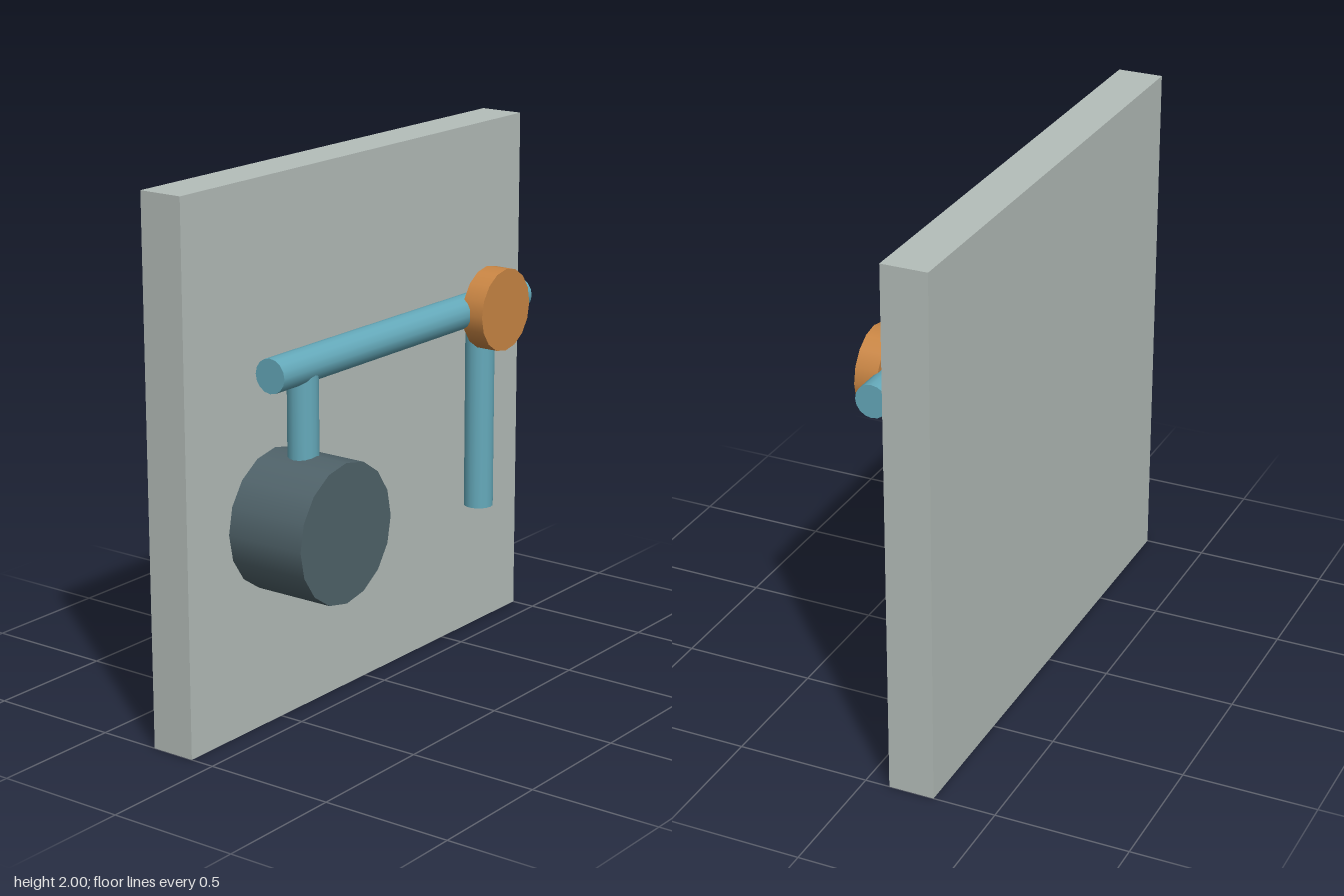
import * as THREE from 'three';

export function createModel() {
  const model = new THREE.Group();
  const paint = (name, color) => {
    const m = new THREE.MeshStandardMaterial({ color });
    m.name = name;
    return m;
  };
  const grey = paint('pale grey', 0xb5beba);
  const teal = paint('teal', 0x65aabb);
  const slate = paint('slate', 0x50636a);
  const orange = paint('orange', 0xca8644);

  // Adds a cylinder whose axis runs along 'x', 'y' or 'z'
  function rod(name, material, axis, radius, length, x, y, z) {
    const geometry = new THREE.CylinderGeometry(radius, radius, length, 16);
    if (axis === 'x') geometry.rotateZ(Math.PI / 2);
    if (axis === 'z') geometry.rotateX(Math.PI / 2);
    const mesh = new THREE.Mesh(geometry, material);
    mesh.name = name;
    mesh.position.set(x, y, z);
    model.add(mesh);
  }

  // Backing panel
  const panel = new THREE.Mesh(new THREE.BoxGeometry(2, 2, 0.172), grey);
  panel.name = 'backPanel';
  panel.position.set(0, 1, -0.179);
  model.add(panel);

  // Beam with its two vertical rods
  const rodZ = 0.076;
  rod('beam', teal, 'x', 0.0625, 1.5, 0, 1.36, rodZ);
  rod('hangerRod', teal, 'y', 0.056, 0.4, -0.572, 1.16, rodZ);
  rod('dropRod', teal, 'y', 0.056, 0.78, 0.498, 0.97, rodZ);

  // Weight and pivot
  rod('drumWeight', slate, 'z', 0.256, 0.314, -0.572, 0.788, 0.106);
  rod('pivotDisc', orange, 'z', 0.156, 0.087, 0.498, 1.36, 0.148);

  return model;
}
